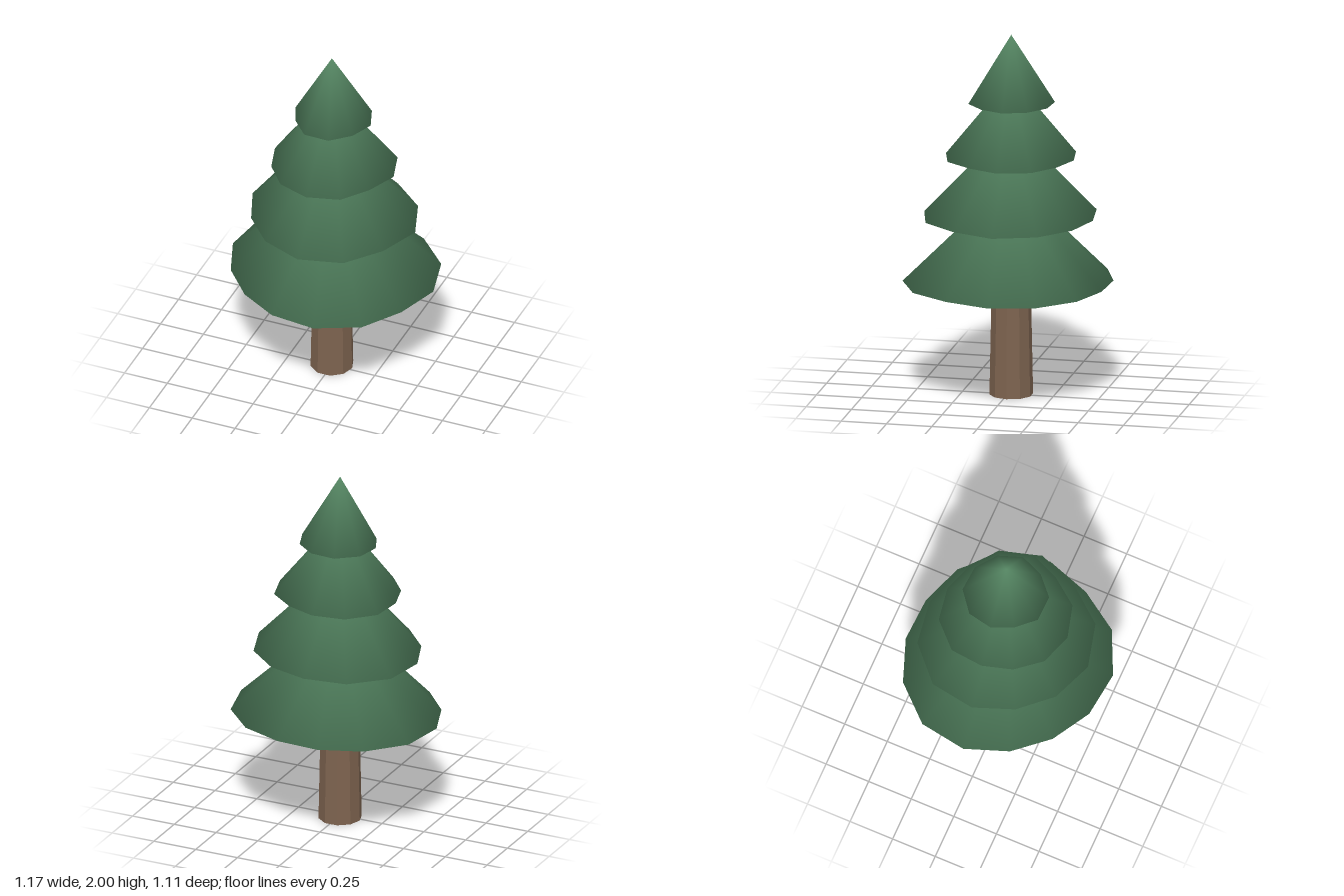
import * as THREE from 'three';

const green = new THREE.MeshStandardMaterial({ color: 0x568864 });
const brown = new THREE.MeshStandardMaterial({ color: 0x7d634f, flatShading: true });

// A closed cone with an uneven rim, smoothly shaded over rim and underside.
function tierGeometry(baseY, tipY, radii) {
  const n = radii.length;
  const mean = radii.reduce((sum, r) => sum + r, 0) / n;
  const positions = [], normals = [], index = [];

  // rim normal: two side corners and one underside corner, weighted by angle
  const height = tipY - baseY, slant = Math.hypot(height, mean);
  const sideWeight = 2 * Math.acos(mean * Math.sin(Math.PI / n) / slant);
  const capWeight = Math.PI - 2 * Math.PI / n;
  const out = height / slant * sideWeight;
  const up = mean / slant * sideWeight - capWeight;
  const length = Math.hypot(out, up);

  radii.forEach((r, i) => {
    const a = i / n * Math.PI * 2, c = Math.cos(a), s = Math.sin(a);
    positions.push(r * c, baseY, r * s);
    normals.push(out * c / length, up / length, out * s / length);
    index.push(i, n, (i + 1) % n);
    if (i > 0 && i < n - 1) index.push(0, i, i + 1);
  });
  positions.push(0, tipY, 0);
  normals.push(0, 1, 0);

  const geometry = new THREE.BufferGeometry();
  geometry.setAttribute('position', new THREE.Float32BufferAttribute(positions, 3));
  geometry.setAttribute('normal', new THREE.Float32BufferAttribute(normals, 3));
  geometry.setIndex(index);
  return geometry;
}

export function createModel() {
  const tree = new THREE.Group();
  tree.name = 'pineTree';

  // Ten-sided tapering trunk
  const trunkHeight = 0.7;
  const trunk = new THREE.Mesh(
    new THREE.CylinderGeometry(0.104, 0.118, trunkHeight, 10).rotateY(Math.PI / 2), brown);
  trunk.name = 'trunk';
  trunk.position.y = trunkHeight / 2;
  tree.add(trunk);

  // Foliage tiers from bottom to top: base height, tip height, rim radii from +x towards +z
  const tiers = [
    [0.63, 1.20, [0.592, 0.565, 0.588, 0.585, 0.555, 0.535, 0.545, 0.578, 0.595, 0.575, 0.55, 0.538, 0.563, 0.589]],
    [0.99, 1.50, [0.486, 0.457, 0.483, 0.48, 0.45, 0.438, 0.463, 0.49, 0.481, 0.45, 0.447, 0.467]],
    [1.32, 1.77, [0.36, 0.333, 0.359, 0.36, 0.347, 0.329, 0.333, 0.364, 0.365, 0.345, 0.331, 0.356]],
    [1.62, 2.00, [0.226, 0.215, 0.232, 0.228, 0.2, 0.213, 0.23, 0.236, 0.225, 0.221]],
  ];
  tiers.forEach(([baseY, tipY, radii], i) => {
    const tier = new THREE.Mesh(tierGeometry(baseY, tipY, radii), green);
    tier.name = `foliageTier${i + 1}`;
    tree.add(tier);
  });

  // The trunk axis sits slightly off the middle because the rims are uneven
  for (const part of tree.children) {
    part.position.x = -0.007;
    part.position.z = -0.017;
  }
  return tree;
}
